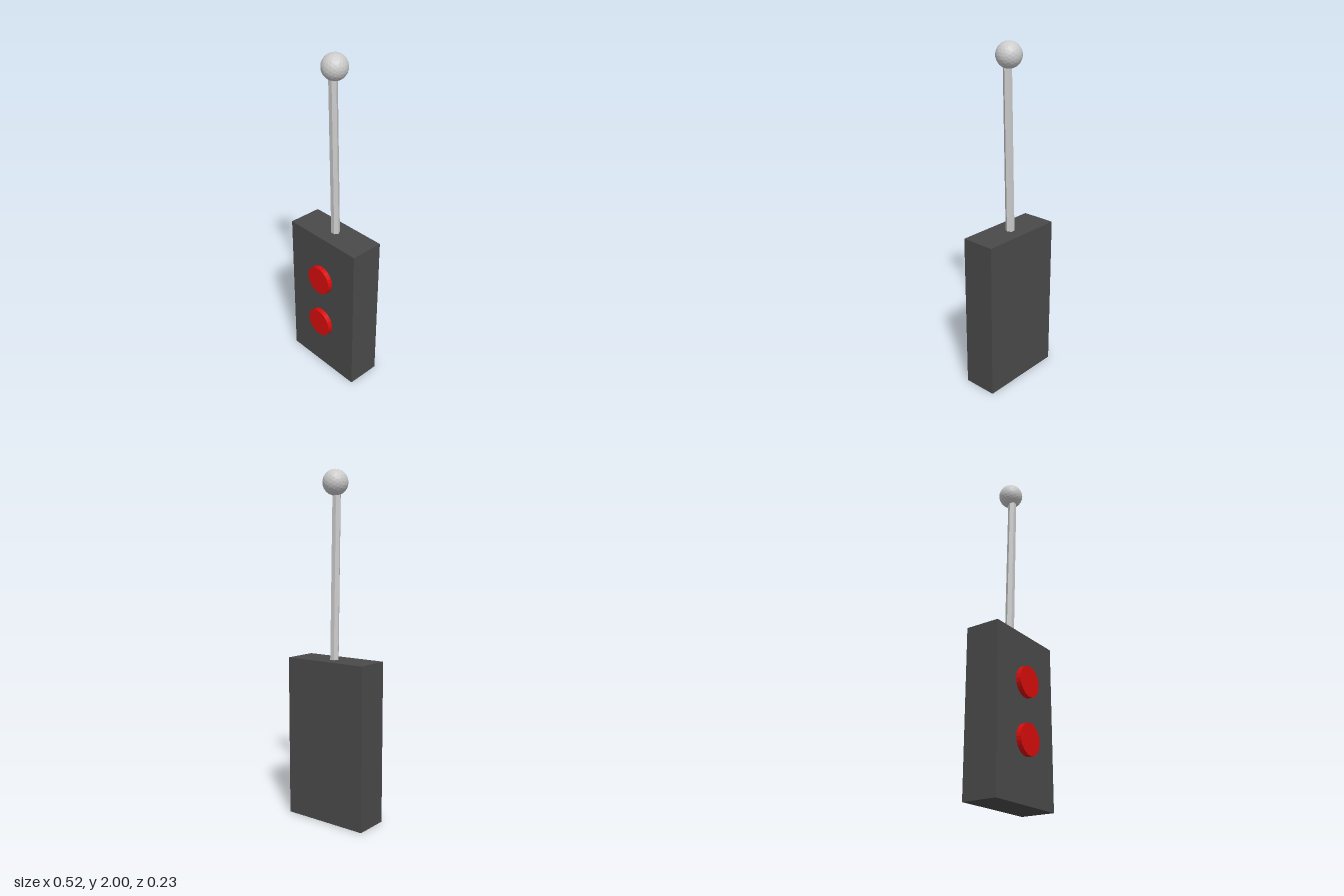
import * as THREE from 'three';

export function createModel() {
  const model = new THREE.Group();
  model.name = 'remoteControl';

  const grey = new THREE.MeshStandardMaterial({ color: 0xcccccc, flatShading: true });
  const dark = new THREE.MeshStandardMaterial({ color: 0x4a4a4a, flatShading: true });
  const red = new THREE.MeshStandardMaterial({ color: 0xd80c0c, flatShading: true });

  const add = (name, geometry, material, x, y, z) => {
    const mesh = new THREE.Mesh(geometry, material);
    mesh.name = name;
    mesh.position.set(x, y, z);
    model.add(mesh);
    return mesh;
  };

  // Handset body
  add('body', new THREE.BoxGeometry(0.522, 0.94, 0.205), dark, 0, 0.47, -0.0155);

  // Two round push buttons, slightly sunk into the front face
  const buttonGeometry = new THREE.CylinderGeometry(0.088, 0.088, 0.05, 24).rotateX(Math.PI / 2);
  for (const [name, y] of [['upperButton', 0.657], ['lowerButton', 0.337]]) {
    add(name, buttonGeometry, red, -0.002, y, 0.092);
  }

  // Antenna rod, leaning a little forward out of the top
  const bottom = new THREE.Vector3(0, 0.9, -0.022);
  const top = new THREE.Vector3(0, 1.9, 0);
  const lean = top.clone().sub(bottom);
  const rodGeometry = new THREE.CylinderGeometry(0.025, 0.026, lean.length(), 6).rotateY(Math.PI / 6);
  const rod = add('antennaRod', rodGeometry, grey, 0, 1.4, -0.011);
  rod.quaternion.setFromUnitVectors(new THREE.Vector3(0, 1, 0), lean.normalize());

  // Faceted ball on the antenna tip
  add('antennaBall', new THREE.IcosahedronGeometry(0.0725, 3), grey, 0, 1.9275, -0.012);

  return model;
}
